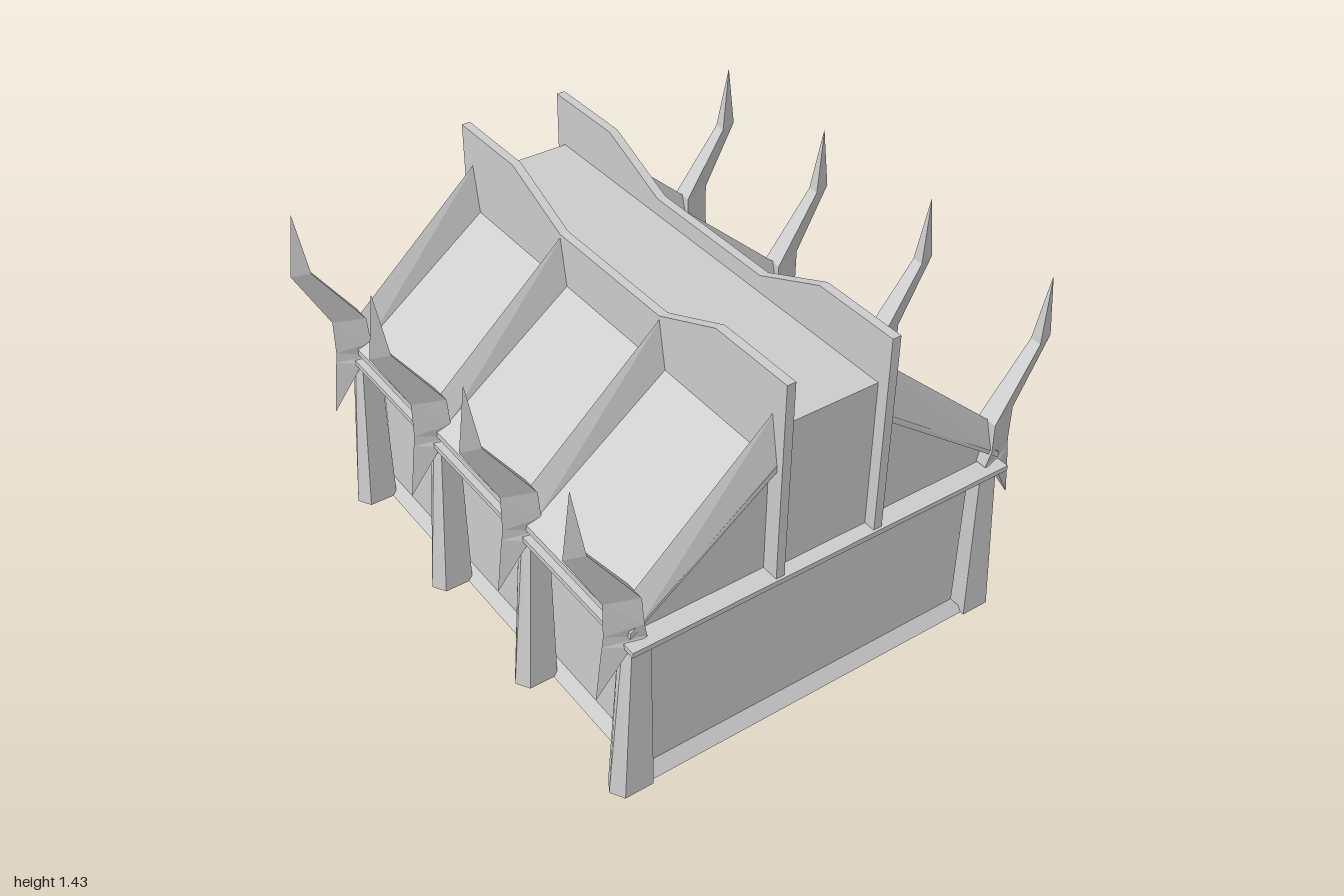
import * as THREE from 'three';

const stone = new THREE.MeshStandardMaterial({ color: 0xcccccc, side: THREE.DoubleSide });
stone.name = 'pale stone';

function add(parent, name, geometry) {
  const mesh = new THREE.Mesh(geometry, stone);
  mesh.name = name;
  parent.add(mesh);
  return mesh;
}

// Box given by its extents
function block(parent, name, x0, x1, y0, y1, z0, z1) {
  const g = new THREE.BoxGeometry(x1 - x0, y1 - y0, z1 - z0);
  g.translate((x0 + x1) / 2, (y0 + y1) / 2, (z0 + z1) / 2);
  return add(parent, name, g);
}

// Polygon in x,y pushed from z0 to z1
function prism(points, z0, z1) {
  const shape = new THREE.Shape(points.map(p => new THREE.Vector2(p[0], p[1])));
  const g = new THREE.ExtrudeGeometry(shape, { depth: z1 - z0, bevelEnabled: false });
  return g.translate(0, 0, z0);
}

// Polygon in z,y pushed from x0 to x1
const sidePrism = (points, x0, x1) => prism(points, -x1, -x0).rotateY(-Math.PI / 2);

// Faceted solid through rings of equal point count
function loft(rings, capped = true) {
  const out = [];
  const tri = (...pts) => pts.forEach(p => out.push(...p));
  const n = rings[0].length;
  for (let k = 0; k < rings.length - 1; k++) {
    const a = rings[k], b = rings[k + 1];
    for (let i = 0; i < n; i++) {
      const j = (i + 1) % n;
      tri(a[i], a[j], b[j]);
      tri(a[i], b[j], b[i]);
    }
  }
  if (capped) {
    const first = rings[0], last = rings[rings.length - 1];
    for (let i = 1; i < n - 1; i++) {
      tri(first[0], first[i + 1], first[i]);
      tri(last[0], last[i], last[i + 1]);
    }
  }
  const g = new THREE.BufferGeometry();
  g.setAttribute('position', new THREE.Float32BufferAttribute(out, 3));
  g.computeVertexNormals();
  return g;
}

// Upside-down U outline around a doorway centred on c
const doorOutline = (c, outer, top, w, h) => [
  [c - outer, 0.06], [c - w, 0.06], [c - w, h], [c + w, h],
  [c + w, 0.06], [c + outer, 0.06], [c + outer, top], [c - outer, top],
];

// Pillar, roof rib and horn standing at one position along the side
function buttress(z) {
  const g = new THREE.Group();
  g.name = 'buttress';
  g.position.z = z;
  const pillarRing = (y, inner, outer, tip, w) =>
    [[inner, y, w], [outer, y, w], [tip, y, 0], [outer, y, -w], [inner, y, -w]];
  add(g, 'pillar', loft([
    pillarRing(0.01, 0.675, 0.785, 0.815, 0.05),
    pillarRing(0.66, 0.675, 0.745, 0.755, 0.036),
  ]));
  const ribRing = (x, ridge, base, w) => [[x, ridge, 0], [x, base, w], [x, base, -w]];
  add(g, 'roofRib', loft([ribRing(0.2, 1.31, 1.12, 0.035), ribRing(0.72, 0.845, 0.735, 0.038)]));
  // Each row: height, inner x, outer x, outer height, half width
  const hornRows = [
    [0.47, 0.855, 0.856, 0.47, 0.001],
    [0.655, 0.745, 0.834, 0.655, 0.032],
    [0.68, 0.69, 0.83, 0.68, 0.038],
    [0.745, 0.705, 0.825, 0.72, 0.045],
    [0.85, 0.71, 0.825, 0.855, 0.038],
    [1.1, 0.887, 0.955, 1.1, 0.022],
    [1.34, 0.923, 0.924, 1.34, 0.001],
  ];
  add(g, 'horn', loft(hornRows.map(([y, xi, xo, yo, w]) => [[xi, y, w], [xo, yo, 0], [xi, y, -w]])));
  return g;
}

// Half of the roof with its buttresses
function roofSide() {
  const g = new THREE.Group();
  g.name = 'roofSide';
  add(g, 'gable', prism([[0.19, 0.67], [0.71, 0.67], [0.71, 0.73], [0.19, 1.115]], -0.865, 0.865));
  add(g, 'roofPanel', prism([[0.2, 1.105], [0.75, 0.695], [0.75, 0.72], [0.2, 1.13]], -0.905, 0.905));
  // Tall plate beside the ridge, dipping in the middle
  add(g, 'ridgePlate', sidePrism([
    [-0.93, 0.67], [0.93, 0.67], [0.93, 1.435], [0.585, 1.435], [0.29, 1.31],
    [-0.29, 1.31], [-0.585, 1.435], [-0.93, 1.435],
  ], 0.183, 0.216));
  for (const z of [-0.87, -0.29, 0.29, 0.87]) g.add(buttress(z));
  return g;
}

export function createModel() {
  const model = new THREE.Group();
  model.name = 'hornedHall';
  const hall = new THREE.Group();
  hall.name = 'hall';
  hall.position.z = 0.06;
  model.add(hall);

  const X = 0.655, Z = 0.87, doorW = 0.13, doorH = 0.49, backX = -0.01;

  // Hollow walls, with an open doorway at the back and a closed one at the side
  block(hall, 'frontWall', -X, X, 0.05, 0.66, Z - 0.03, Z);
  block(hall, 'rightWall', -X, -X + 0.03, 0.05, 0.66, -Z, Z);
  add(hall, 'leftWall', sidePrism(doorOutline(0, Z, 0.66, doorW, doorH), X - 0.03, X));
  add(hall, 'backWall', prism(doorOutline(backX, X - 0.01, 0.66, doorW, doorH), -Z, -Z + 0.03));
  block(hall, 'floor', -X, X, 0.05, 0.06, -Z, Z);

  // Sloped skirt around the foot of the walls, open below
  const skirtRing = (y, x, z) => [[-x, y, z], [x, y, z], [x, y, -z], [-x, y, -z]];
  add(hall, 'skirt', loft([skirtRing(0.01, X + 0.035, Z + 0.035), skirtRing(0.06, X, Z)], false));

  // Door surrounds and the closed side door
  add(hall, 'sideDoorFrame', sidePrism(doorOutline(0, 0.165, 0.525, doorW, doorH), X, X + 0.025));
  block(hall, 'sideDoor', X - 0.04, X - 0.025, 0.06, doorH + 0.01, -doorW - 0.01, doorW + 0.01);
  add(hall, 'backDoorFrame', prism(doorOutline(backX, 0.165, 0.525, doorW, doorH), -Z - 0.025, -Z));

  // Side steps
  block(hall, 'sideLowerStep', X, 0.875, 0, 0.035, -0.23, 0.23);
  block(hall, 'sideUpperStep', X, 0.835, 0.035, 0.06, -0.23, 0.23);

  // Back steps between two flared posts
  block(hall, 'backLowerStep', backX - 0.26, backX + 0.26, 0, 0.035, -1.06, -Z);
  block(hall, 'backUpperStep', backX - 0.26, backX + 0.26, 0.035, 0.06, -1.015, -Z);
  for (const s of [-1, 1]) {
    const x = backX + s * 0.28;
    add(hall, 'backPost', sidePrism([
      [-Z, 0.01], [-0.97, 0.01], [-0.97, 0.085], [-0.925, 0.135], [-0.905, 0.2], [-0.905, 0.66], [-Z, 0.66],
    ], x - 0.02, x + 0.02));
  }

  // Cornice slab and raised centre of the roof
  block(hall, 'cornice', -0.765, 0.765, 0.655, 0.675, -0.94, 0.94);
  block(hall, 'roofCentre', -0.19, 0.19, 0.67, 1.245, -0.885, 0.885);

  // Mirrored roof halves
  const left = roofSide();
  const right = roofSide();
  right.scale.x = -1;
  hall.add(left, right);
  return model;
}
